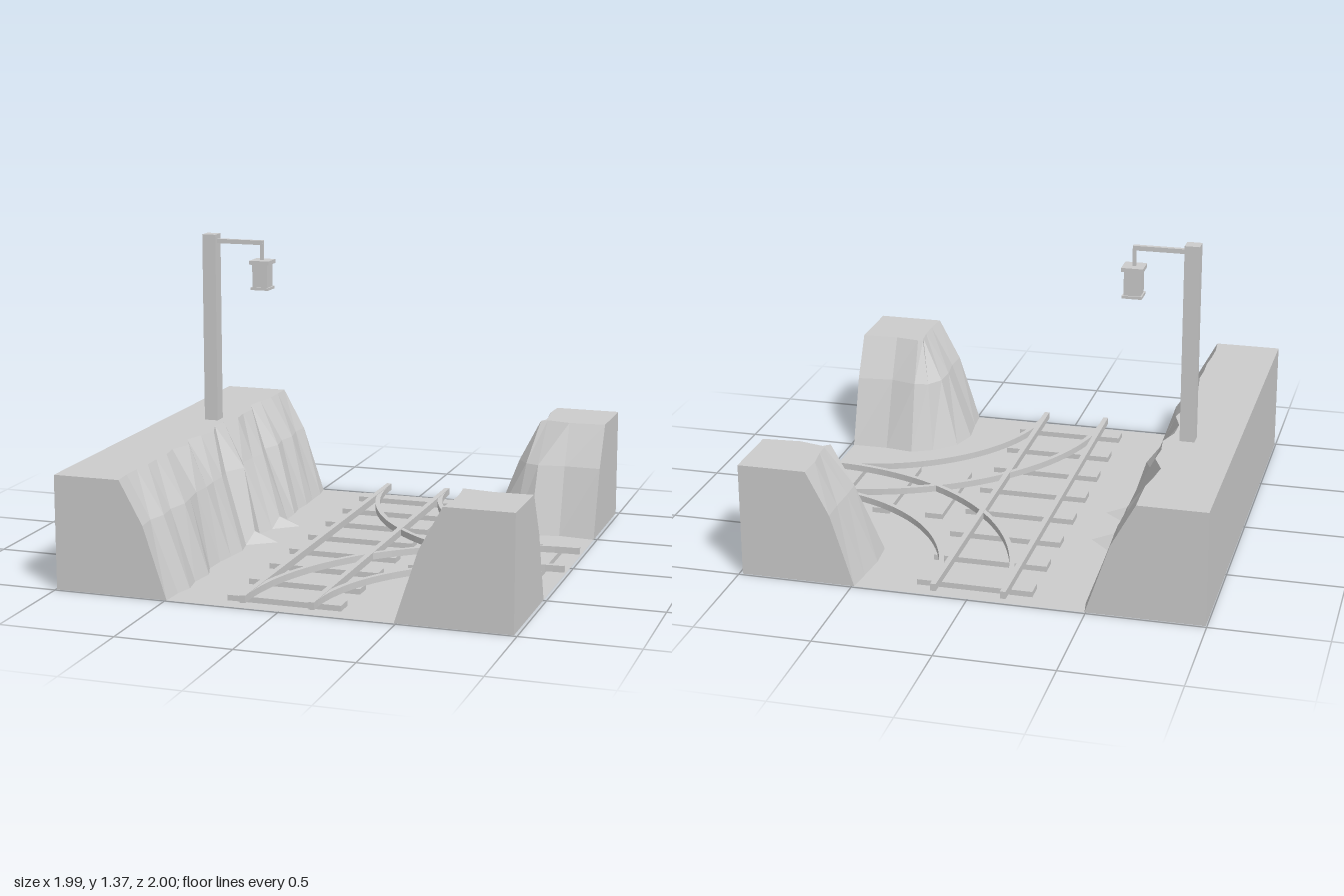
import * as THREE from 'three';

const stone = new THREE.MeshStandardMaterial({ color: 0xcccccc, side: THREE.DoubleSide, flatShading: true });
stone.name = 'plain grey';

const TOP = 0.497, X0 = -0.995, X1 = 0.985, CX = -0.005, Z = 0.99, GAUGE = 0.149;

let seed = 7;
const jitter = (amount) => {
  seed = (seed * 16807) % 2147483647;
  return (seed / 2147483647 - 0.5) * 2 * amount;
};

function add(parent, name, geometry, x = 0, y = 0, z = 0) {
  const mesh = new THREE.Mesh(geometry, stone);
  mesh.name = name;
  mesh.position.set(x, y, z);
  parent.add(mesh);
  return mesh;
}
const box = (parent, name, w, h, d, x, y, z) => add(parent, name, new THREE.BoxGeometry(w, h, d), x, y, z);

// Cross-section from the outer wall, over the top edge, down the rock face
function section(outer, top, base, rough, toe = 0) {
  const dx = base[0] - top[0], dz = base[1] - top[1];
  const at = (t, y) => {
    const k = t + jitter(rough);
    return new THREE.Vector3(top[0] + dx * k, y, top[1] + dz * k);
  };
  const foot = at(1, toe * 0.4);
  const tip = foot.clone();
  tip.x += toe;
  tip.y = 0;
  return [
    new THREE.Vector3(outer[0], 0, outer[1]), new THREE.Vector3(outer[0], TOP, outer[1]),
    at(0, TOP), at(0.5, 0.31), foot, tip,
  ];
}

// Faceted open-bottomed shell through the cross-sections, with flat end walls
function shell(sections) {
  const pts = [];
  const tri = (a, b, c) => {
    const area = b.clone().sub(a).cross(c.clone().sub(a)).length();
    if (area > 1e-6) pts.push(a, b, c);
  };
  for (let i = 0; i < sections.length - 1; i++) {
    const p = sections[i], q = sections[i + 1];
    for (let j = 0; j < p.length - 1; j++) {
      tri(p[j], q[j], q[j + 1]);
      tri(p[j], q[j + 1], p[j + 1]);
    }
  }
  const first = sections[0], last = sections[sections.length - 1];
  for (let j = 1; j < first.length - 1; j++) {
    tri(first[0], first[j], first[j + 1]);
    tri(last[0], last[j + 1], last[j]);
  }
  const g = new THREE.BufferGeometry().setFromPoints(pts);
  g.computeVertexNormals();
  return g;
}

function longCliff() {
  const n = 20, out = [];
  for (let i = 0; i <= n; i++) {
    const end = i === 0 || i === n;
    const z = -Z + (2 * Z * i) / n;
    const toe = i === 7 ? 0.1 : i === 10 ? 0.11 : 0;
    out.push(section([X0, z], [-0.7, z], [-0.495, z + (end ? 0 : jitter(0.02))], end ? 0 : 0.14, toe));
  }
  return out;
}

// Corner rock: every section fans out from the tile corner
function cornerCliff(side) {
  const rows = [
    [0.69, 0.99, 0.49, 0.99], [0.69, 0.88, 0.48, 0.88], [0.69, 0.78, 0.48, 0.74], [0.69, 0.71, 0.49, 0.61],
    [0.69, 0.69, 0.59, 0.51], [0.71, 0.69, 0.69, 0.485], [0.82, 0.69, 0.82, 0.5], [X1, 0.69, X1, 0.49],
  ];
  const out = rows.map(([tx, tz, bx, bz], i) =>
    section([X1, Z * side], [tx, tz * side], [bx, bz * side], i % 7 ? 0.07 : 0));
  return side > 0 ? out : out.reverse();
}

// Quarter-circle rail around a tile corner
function curvedRail(side, radius) {
  const w = 0.011, start = side < 0 ? Math.PI : Math.PI / 2, stop = start + Math.PI / 2;
  const s = new THREE.Shape();
  s.absarc(X1, -side * Z, radius + w, start, stop, false);
  s.absarc(X1, -side * Z, radius - w, stop, start, true);
  const g = new THREE.ExtrudeGeometry(s, { depth: 0.029, bevelEnabled: false, curveSegments: 18 });
  return g.rotateX(-Math.PI / 2);
}

export function createModel() {
  const model = new THREE.Group();
  model.name = 'railJunctionTile';

  // Rock cliffs
  const cliffs = [longCliff(), cornerCliff(1), cornerCliff(-1)];
  ['longCliff', 'frontCornerCliff', 'backCornerCliff'].forEach((name, i) => add(model, name, shell(cliffs[i])));

  // Ground sheet following the feet of the cliffs
  const outline = cliffs.flat().map((s) => new THREE.Vector2(s[5].x, -s[5].z));
  add(model, 'ground', new THREE.ShapeGeometry(new THREE.Shape(outline)).rotateX(-Math.PI / 2));

  // Sleepers
  const track = new THREE.Group();
  track.name = 'track';
  model.add(track);
  for (let i = 0; i < 8; i++) box(track, 'sleeper', 0.496, 0.024, 0.08, CX - 0.003, 0.012, (i - 3.5) * 0.248);
  for (let i = 0; i < 3; i++) box(track, 'branchSleeper', 0.08, 0.024, 0.496, 0.363 + i * 0.248, 0.012, 0);

  // Rails: straight pair, two curved pairs and short ends at the branch
  for (const side of [-1, 1]) {
    box(track, 'straightRail', 0.024, 0.032, 2, CX + side * GAUGE, 0.041, 0);
    for (const r of [Z - GAUGE, Z + GAUGE]) add(track, 'curvedRail', curvedRail(side, r), 0, 0.026, 0);
    box(track, 'branchRailEnd', 0.012, 0.029, 0.022, 0.989, 0.0405, side * GAUGE);
  }

  // Lamp post with hanging lantern
  const lamp = new THREE.Group();
  lamp.name = 'lampPost';
  lamp.position.z = -0.248;
  model.add(lamp);
  box(lamp, 'post', 0.064, 0.875, 0.064, -0.778, 0.9275, 0);
  box(lamp, 'arm', 0.225, 0.02, 0.02, -0.637, 1.334, 0);
  box(lamp, 'hanger', 0.014, 0.08, 0.014, -0.53, 1.29, 0);
  box(lamp, 'lanternCap', 0.093, 0.018, 0.093, -0.529, 1.246, 0);
  box(lamp, 'lanternBody', 0.072, 0.11, 0.072, -0.529, 1.183, 0);
  box(lamp, 'lanternBase', 0.085, 0.012, 0.085, -0.529, 1.126, 0);

  return model;
}
